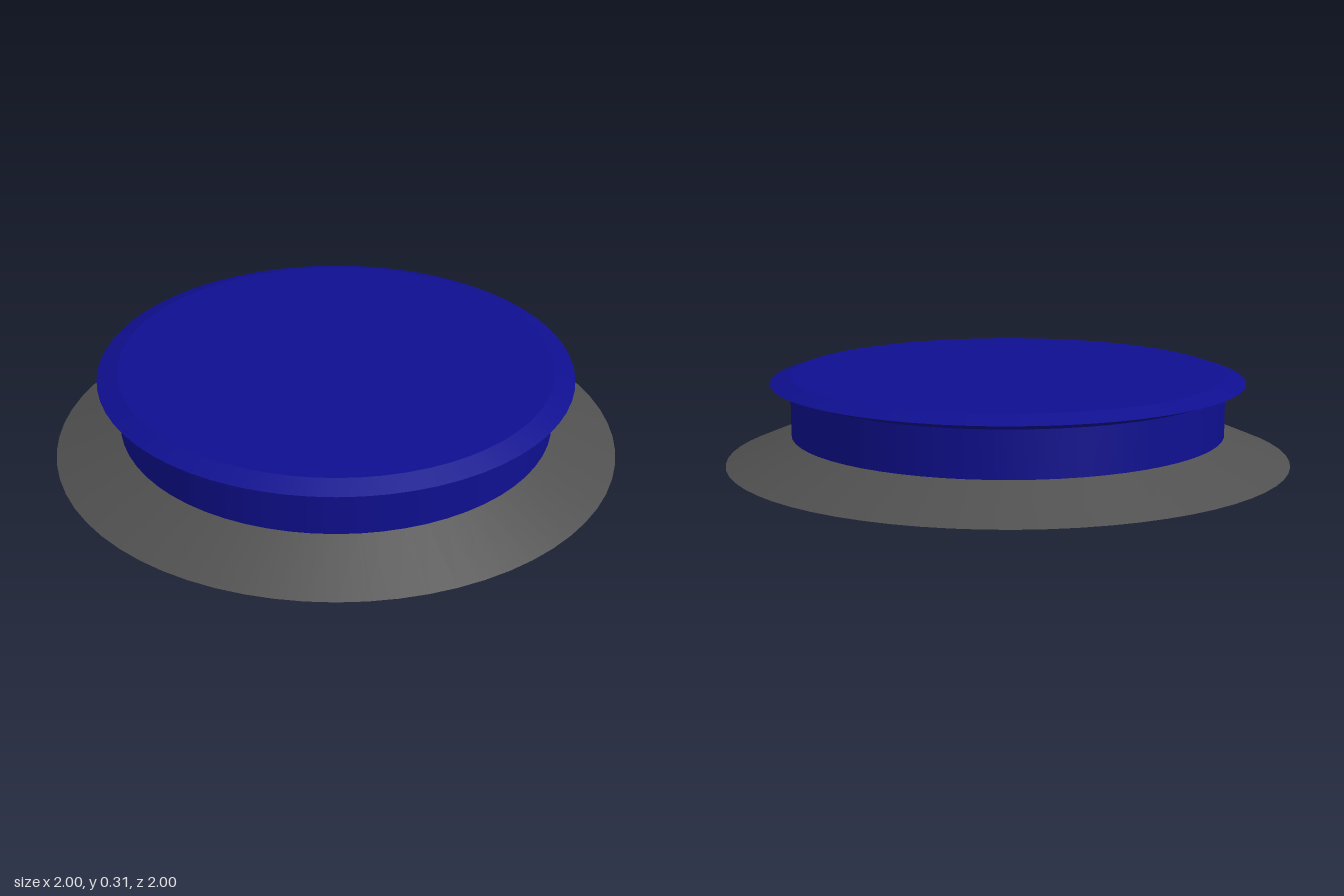
import * as THREE from 'three';

const SEGMENTS = 64;

export function createModel() {
  const group = new THREE.Group();
  const grey = new THREE.MeshStandardMaterial({ color: 0x505050 });
  const blue = new THREE.MeshStandardMaterial({ color: 0x0f0f90 });

  // Round section from bottom radius/height to top radius/height
  function section(name, material, r0, y0, r1, y1, open = false) {
    const geometry = new THREE.CylinderGeometry(r1, r0, y1 - y0, SEGMENTS, 1, open);
    const mesh = new THREE.Mesh(geometry, material);
    mesh.position.y = (y0 + y1) / 2;
    mesh.name = name;
    group.add(mesh);
  }

  // Sloped foot
  section('base', grey, 1, 0, 0.768, 0.098);
  // Straight drum wall
  section('drum', blue, 0.768, 0.098, 0.768, 0.26, true);

  // Lid with a sharp overhanging rim: flared underside, bevelled top
  section('rimUnderside', blue, 0.768, 0.26, 0.84, 0.285, true);
  section('rimBevel', blue, 0.84, 0.285, 0.768, 0.31, true);

  // Flat top
  const top = new THREE.Mesh(new THREE.CircleGeometry(0.768, SEGMENTS), blue);
  top.rotation.set(-Math.PI / 2, 0, Math.PI / 2);
  top.position.y = 0.31;
  top.name = 'lidTop';
  group.add(top);

  return group;
}
